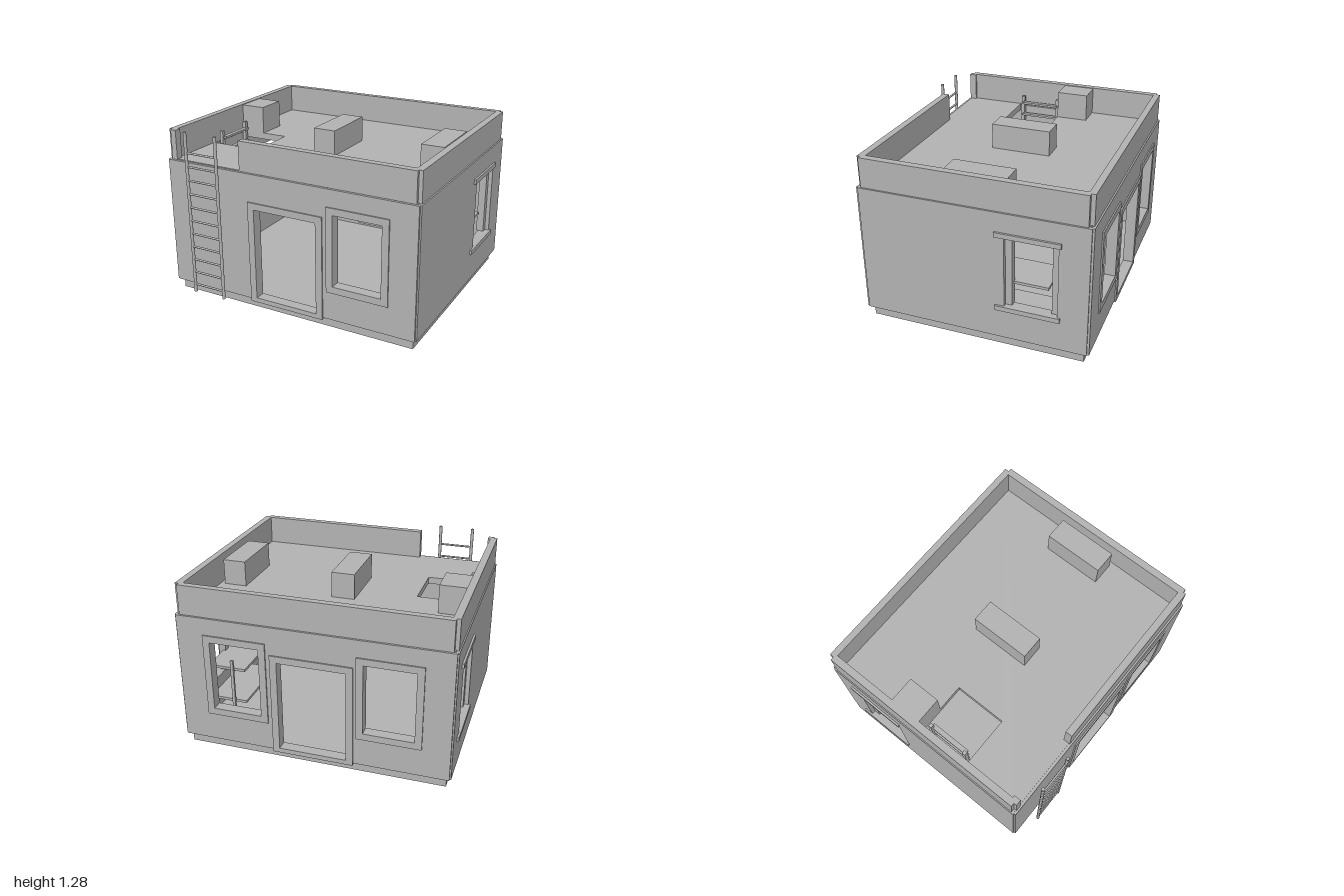
import * as THREE from 'three';

export function createModel() {
  const model = new THREE.Group();
  const plaster = new THREE.MeshStandardMaterial({ color: 0xb2b2b2 });
  plaster.name = 'plainGrey';

  const add = (name, geometry, parent = model) => {
    const mesh = new THREE.Mesh(geometry, plaster);
    mesh.name = name;
    parent.add(mesh);
    return mesh;
  };
  const group = (name) => {
    const g = new THREE.Group();
    g.name = name;
    model.add(g);
    return g;
  };
  // Box given by its minimum and maximum on each axis
  const box = (name, x0, x1, y0, y1, z0, z1, parent) => {
    const g = new THREE.BoxGeometry(x1 - x0, y1 - y0, z1 - z0);
    g.translate((x0 + x1) / 2, (y0 + y1) / 2, (z0 + z1) / 2);
    return add(name, g, parent);
  };
  // Flat panel with rectangular holes, each given as [u0, u1, v0, v1]
  const panel = (outline, holes, depth) => {
    const points = ([a, b, c, d]) => [[a, c], [b, c], [b, d], [a, d]].map((p) => new THREE.Vector2(...p));
    const shape = new THREE.Shape(points(outline));
    holes.forEach((h) => shape.holes.push(new THREE.Path(points(h).reverse())));
    return new THREE.ExtrudeGeometry(shape, { depth, bevelEnabled: false });
  };

  // Plinth and floor
  box('plinth', -0.95, 0.95, 0, 0.085, -0.82, 0.76);

  // Front and back walls with their openings
  const door = [-0.25, 0.24, 0.1, 0.78];
  const windowLeft = [0.37, 0.73, 0.34, 0.86];
  const windowRight = [-0.73, -0.37, 0.34, 0.86];
  const wall = [-0.975, 0.975, 0.08, 1.035];
  const frontHoles = [door, windowLeft];
  const backHoles = [door, windowLeft, windowRight];
  add('frontWall', panel(wall, frontHoles, 0.07)).position.z = 0.73;
  add('backWall', panel(wall, backHoles, 0.07)).position.z = -0.86;

  // Raised frames around those openings
  const frame = (h, z, w = 0.05) => {
    const bottom = h === door ? 0.035 : w;
    const outer = [h[0] - w, h[1] + w, h[2] - bottom, h[3] + w];
    add(h === door ? 'doorFrame' : 'windowFrame', panel(outer, [h], 0.06)).position.z = z;
  };
  frontHoles.forEach((h) => frame(h, 0.75));
  backHoles.forEach((h) => frame(h, -0.87));

  // Side walls, each with one window; panel u runs along -z
  for (const s of [1, -1]) {
    const side = s > 0 ? 'left' : 'right';
    const g = panel([-0.785, 0.845, 0.08, 1.035], [[0.265, 0.637, 0.335, 0.86]], 0.07);
    g.rotateY(Math.PI / 2);
    add(side + 'Wall', g).position.x = s > 0 ? 0.915 : -0.985;

    const trim = group(side + 'WindowTrim');
    const bar = (name, a, b, y0, y1, z0, z1) =>
      box(name, Math.min(s * a, s * b), Math.max(s * a, s * b), y0, y1, z0, z1, trim);
    const [z0, z1] = s > 0 ? [-0.656, -0.2] : [-0.71, -0.254];
    bar('lintel', 0.92, 1, 0.86, 0.895, z0, z1);
    bar('sill', 0.92, 1, 0.3, 0.335, z0, z1);
    bar('jamb', 0.9, 0.955, 0.335, 0.86, -0.312, -0.265);
    bar('jamb', 0.9, 0.955, 0.335, 0.86, -0.637, -0.59);
  }

  // Roof slab with the ladder hatch
  const roof = panel([-0.96, 0.96, -0.78, 0.84], [[-0.93, -0.535, -0.325, 0.065]], 0.05);
  roof.rotateX(-Math.PI / 2);
  add('roofSlab', roof).position.y = 0.992;

  // Parapet, open at the front beside the ladder, with stepped corners
  const parapet = group('parapet');
  const [p0, p1] = [1.038, 1.255];
  for (const s of [1, -1]) {
    box('sideParapet', s > 0 ? 0.925 : -0.977, s > 0 ? 0.977 : -0.925, p0, p1, -0.82, 0.765, parapet);
  }
  box('backParapet', -0.95, 0.95, p0, p1, -0.85, -0.802, parapet);
  box('frontParapet', -0.37, 0.95, p0, p1, 0.735, 0.787, parapet);
  box('frontParapetStub', -0.95, -0.907, p0, p1, 0.735, 0.787, parapet);

  // Blocks on the roof
  box('hatchBlock', -0.93, -0.735, 1.03, 1.25, -0.305, -0.065);
  box('middleRoofBlock', -0.12, 0.05, 1.03, 1.23, -0.255, 0.19);
  box('sideRoofBlock', 0.72, 0.89, 1.03, 1.23, -0.255, 0.19);

  // Outside ladder
  const ladder = group('outsideLadder');
  for (const x of [-0.765, -0.51]) {
    add('rail', new THREE.CylinderGeometry(0.012, 0.012, 1.23, 10), ladder).position.set(x, 0.665, 0.858);
  }
  for (let i = 0; i < 11; i++) {
    const rung = add('rung', new THREE.CylinderGeometry(0.008, 0.008, 0.255, 8), ladder);
    rung.rotation.z = Math.PI / 2;
    rung.position.set(-0.6375, 0.11 + i * 0.102, 0.858);
  }

  // Inside ladder up to the hatch
  const inner = group('insideLadder');
  for (const z of [-0.03, 0.27]) box('rail', -0.892, -0.865, 0.085, 1.13, z, z + 0.027, inner);
  for (let i = 0; i < 10; i++) {
    const y = 0.17 + i * 0.1;
    box('rung', -0.88, -0.845, y, y + 0.016, -0.02, 0.285, inner);
  }

  // Shelf rack by the left wall
  const rack = group('shelfRack');
  for (const y of [0.22, 0.485]) box('shelf', 0.63, 0.92, y, y + 0.02, -0.555, 0, rack);
  for (const z of [-0.572, 0]) box('post', 0.715, 0.738, 0.085, 0.57, z, z + 0.018, rack);

  return model;
}
